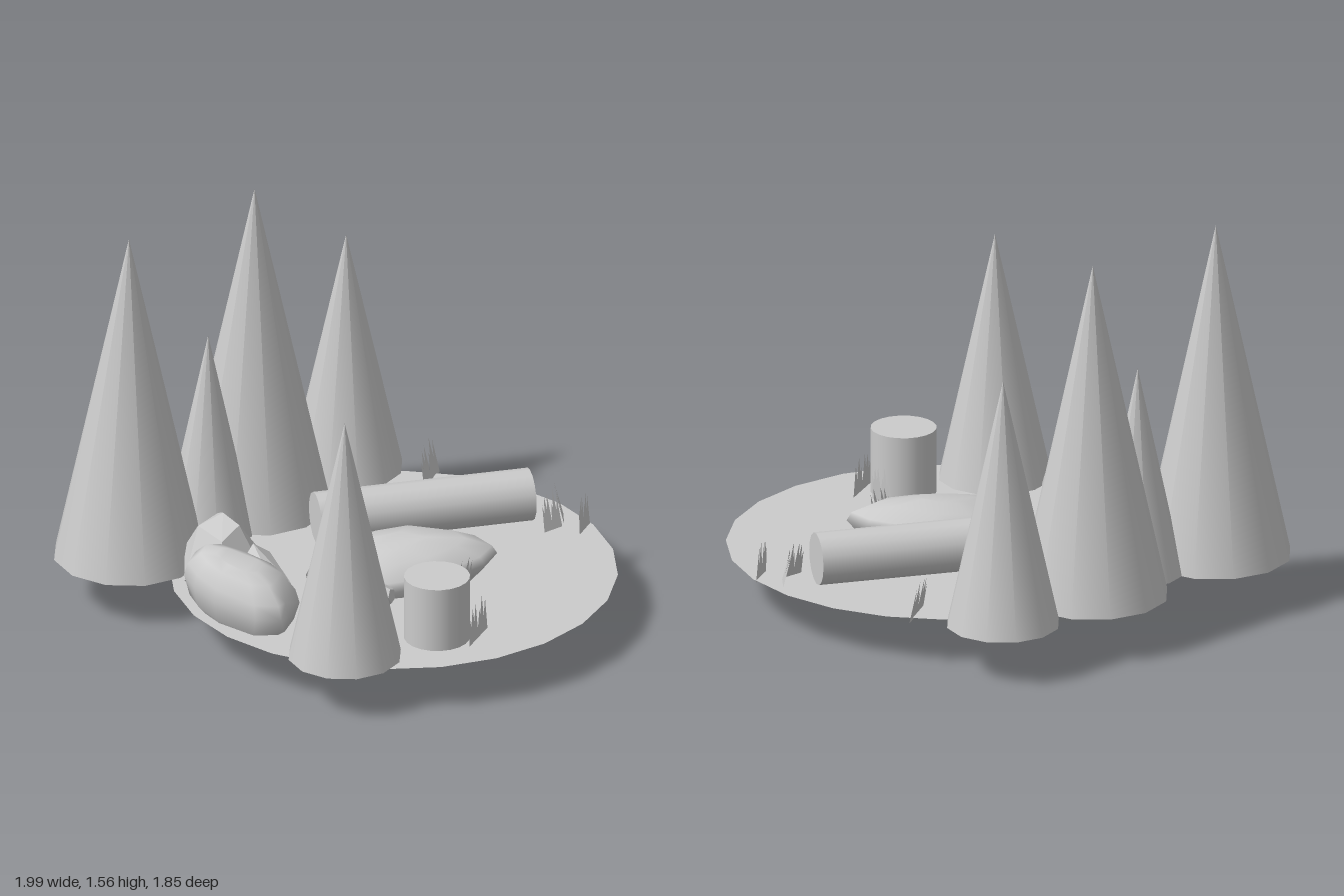
import * as THREE from 'three';
import { mergeVertices } from 'three/addons/utils/BufferGeometryUtils.js';
import { ConvexGeometry } from 'three/addons/geometries/ConvexGeometry.js';

const GROUND = 0.19;
const mat = new THREE.MeshStandardMaterial({ color: 0xcccccc });
const flat = new THREE.MeshStandardMaterial({ color: 0xcccccc, flatShading: true });
const thin = new THREE.MeshStandardMaterial({ color: 0xcccccc, side: THREE.DoubleSide });

export function createModel() {
  const model = new THREE.Group();
  const add = (name, geometry, material, x = 0, y = 0, z = 0) => {
    const mesh = new THREE.Mesh(geometry, material);
    mesh.name = name;
    mesh.position.set(x, y, z);
    model.add(mesh);
    return mesh;
  };
  const hull = (points) => new ConvexGeometry(points.map((p) => new THREE.Vector3(...p)));

  // Clearing floor
  add('ground', new THREE.CircleGeometry(0.88, 24).rotateX(-Math.PI / 2), thin, 0.11, GROUND, -0.04);

  // Cone trees: x, z, radius, height
  for (const [x, z, r, h] of [
    [-0.7, -0.525, 0.225, 1.01], [-0.7, -0.04, 0.3, 1.37], [-0.7, 0.625, 0.3, 1.37],
    [-0.64, 0.26, 0.18, 0.85], [0.535, 0.605, 0.225, 1.01],
  ]) add('tree', new THREE.ConeGeometry(r, h, 12), mat, x, GROUND + h / 2, z);

  // Fallen log and stump
  const log = add('fallenLog', new THREE.CylinderGeometry(0.104, 0.104, 0.868, 16).rotateX(Math.PI / 2),
    mat, -0.075, 0.295, -0.363);
  log.rotation.y = Math.atan2(0.406, -0.766);
  add('stump', new THREE.CylinderGeometry(0.13, 0.13, 0.285, 20), mat, 0.66, 0.3125, 0.23);

  // Rounded boulders: a plan outline stacked in layers [scale, y], tilted by slopes in x and z
  const boulder = (outline, cx, cz, layers, slopeX, slopeZ) => {
    const points = layers.flatMap(([s, y]) => outline.map(([x, z]) => {
      const px = (x - cx) * s, pz = (z - cz) * s;
      return [cx + px, y + px * slopeX + pz * slopeZ, cz + pz];
    }));
    const g = hull(points);
    g.deleteAttribute('normal');
    const smooth = mergeVertices(g, 1e-4);
    smooth.computeVertexNormals();
    add('boulder', smooth, mat);
  };
  boulder([[0.28, -0.335], [0.4, -0.325], [0.43, -0.23], [0.4, -0.04], [0.33, 0.11], [0.2, 0.31],
    [0.03, 0.33], [-0.06, 0.27], [-0.1, 0.08], [-0.06, -0.05], [0.04, -0.21]], 0.165, 0,
  [[0.3, 0.35], [0.68, 0.325], [0.95, 0.275], [1, 0.24], [0.85, 0.175], [0.5, 0.135]], 0, -0.11);
  boulder([[-0.275, 0.675], [-0.23, 0.605], [-0.1, 0.55], [0.085, 0.51], [0.19, 0.53], [0.25, 0.64],
    [0.255, 0.685], [0.19, 0.765], [0, 0.81], [-0.13, 0.8], [-0.225, 0.765]], -0.01, 0.67,
  [[0.4, 0.425], [0.7, 0.405], [0.93, 0.345], [1, 0.29], [0.9, 0.21], [0.55, 0.145]], -0.12, 0);

  // Faceted rocks
  add('facetedRock', hull([
    [-0.45, 0, 0.16], [-0.56, 0.04, 0.22], [-0.34, 0.12, 0.2], [-0.29, 0.05, 0.5], [-0.5, 0.06, 0.48],
    [-0.16, 0.22, 0.4], [-0.18, 0.25, 0.6], [-0.36, 0.2, 0.64], [-0.46, 0.28, 0.55], [-0.355, 0.43, 0.44],
    [-0.26, 0.41, 0.44], [-0.24, 0.38, 0.55], [-0.38, 0.4, 0.55], [-0.45, 0.375, 0.38], [-0.26, 0.2, 0.28],
    [-0.5, 0.22, 0.3]]), flat);
  add('facetedRock', hull([
    [-0.17, 0.3, 0.36], [0.02, 0.25, 0.42], [0.06, 0.2, 0.51], [-0.06, 0.3, 0.48], [-0.18, 0.36, 0.44],
    [-0.1, 0.2, 0.58], [-0.2, 0.18, 0.58], [-0.18, 0.14, 0.4], [-0.03, 0.14, 0.45]]), flat);

  // Pebbles: x, y, z, radius
  [[-0.01, 0.17, -0.21, 0.038], [0, 0.19, -0.3, 0.03], [-0.02, 0.2, -0.25, 0.028],
    [0.28, 0.175, 0.25, 0.055], [0.3, 0.225, 0.19, 0.05], [0.32, 0.22, 0.23, 0.04],
  ].forEach(([x, y, z, r], i) => {
    add('pebble', new THREE.DodecahedronGeometry(r), flat, x, y, z).rotation.set(i, i * 2, i * 0.7);
  });

  // Grass tufts: saw-toothed strips from (x1, z1) to (x2, z2) with a lean
  const tuft = (x1, z1, x2, z2, lean) => {
    const w = Math.hypot(x2 - x1, z2 - z1), teeth = 6;
    const s = new THREE.Shape();
    s.moveTo(-w / 2, 0);
    for (let i = 0; i < teeth; i++) {
      const top = 0.145 + 0.03 * Math.sin(i * 2.3);
      s.lineTo(w * ((i + 0.3) / teeth - 0.5), top);
      s.lineTo(w * ((i + 1) / teeth - 0.5), i === teeth - 1 ? 0 : top - 0.07);
    }
    const mesh = add('grassTuft', new THREE.ShapeGeometry(s), thin, (x1 + x2) / 2, 0.18, (z1 + z2) / 2);
    mesh.rotation.set(lean, Math.atan2(z1 - z2, x2 - x1), 0, 'YXZ');
  };
  for (const t of [
    [-0.43, -0.775, -0.335, -0.61, 0.2], [0.19, -0.87, 0.26, -0.81, 0.25], [0.32, -0.89, 0.37, -0.79, 0.08],
    [0.27, -0.79, 0.265, -0.7, 0.25], [0.43, -0.15, 0.44, -0.03, -0.15], [-0.07, -0.04, -0.07, 0.07, 0.3],
    [-0.12, 0.1, -0.05, 0.27, -0.3], [0.57, 0.08, 0.68, 0.08, -0.1], [0.735, 0.03, 0.815, 0.2, 0.05],
  ]) tuft(...t);

  return model;
}
